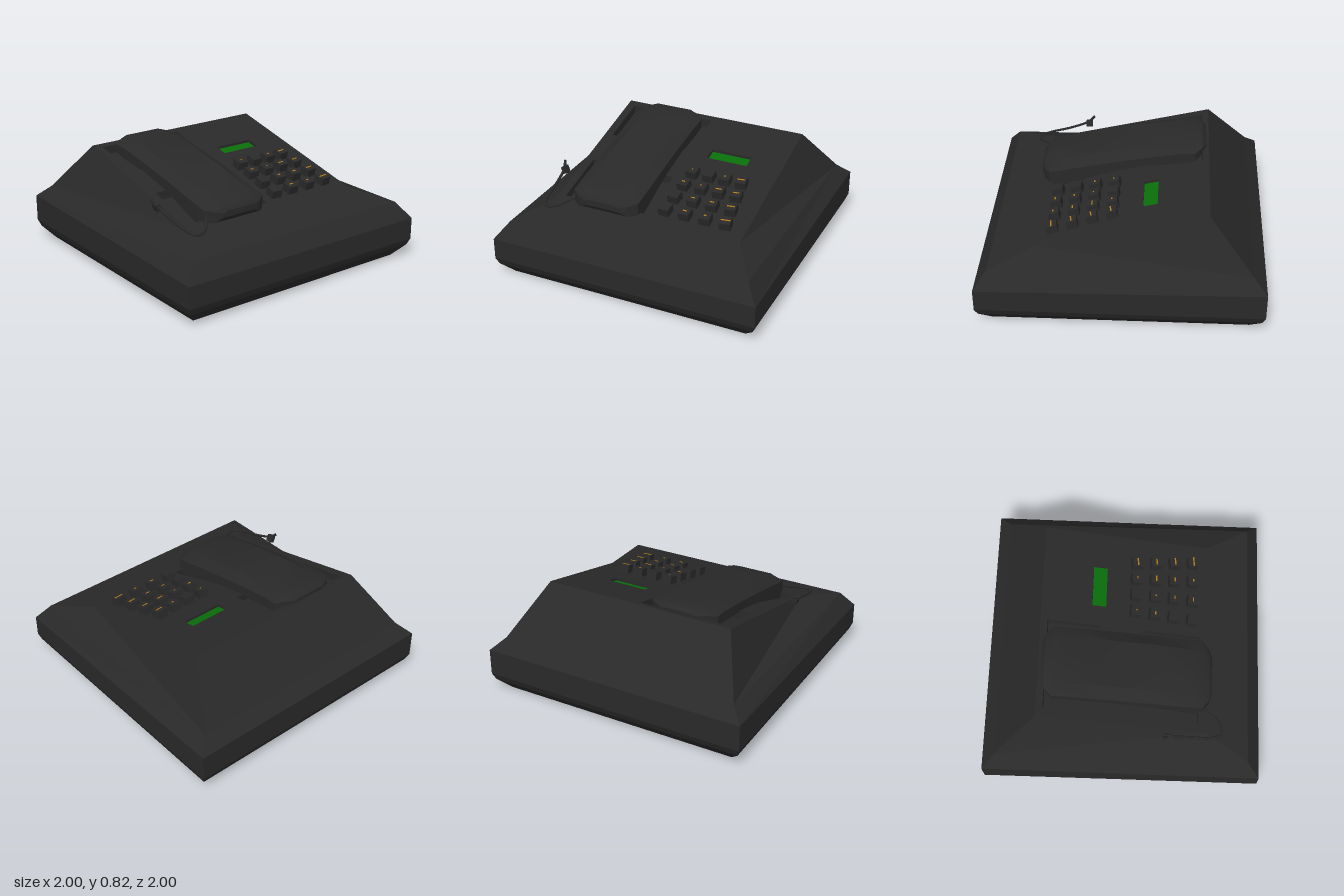
import * as THREE from 'three';
import { toCreasedNormals } from 'three/addons/utils/BufferGeometryUtils.js';

const mat = (name, color) => {
  const m = new THREE.MeshStandardMaterial({ color });
  m.name = name;
  return m;
};

// Sloping top panel: height at a given depth
const SLOPE = 0.2384, TILT = Math.atan(SLOPE);
const panelY = z => 0.42 + (0.91 - z) * SLOPE;

// Flat-faced geometry from convex polygons, corners anticlockwise
function polygons(faces) {
  const pos = [];
  for (const f of faces)
    for (let i = 1; i < f.length - 1; i++) pos.push(...f[0], ...f[i], ...f[i + 1]);
  const g = new THREE.BufferGeometry();
  g.setAttribute('position', new THREE.Float32BufferAttribute(pos, 3));
  g.computeVertexNormals();
  return g;
}

// Quads joining two closed loops of equal length
const bridge = (a, b) => a.map((p, i) => {
  const j = (i + 1) % a.length;
  return [p, a[j], b[j], b[i]];
});

const CORNERS = [[1, 1], [1, -1], [-1, -1], [-1, 1]];
const ring = (s, front, back = front) =>
  CORNERS.map(([x, z]) => [x * s, z > 0 ? front : back, z * s]);

export function createModel() {
  const model = new THREE.Group();
  const dark = mat('charcoal plastic', 0x292929);
  const green = mat('green display', 0x0a6e0a);
  const amber = mat('amber marks', 0xb07a1a);
  const add = (name, geometry, material, parent = model) => {
    const m = new THREE.Mesh(geometry, material);
    m.name = name;
    parent.add(m);
    return m;
  };

  // Housing: stacked square rings, then the sloping sides
  const shoulder = ring(0.91, 0.42);
  const rings = [ring(0.9, 0), ring(0.98, 0.09), ring(1, 0.14), ring(1, 0.3, 0.335), shoulder];
  const rim = CORNERS.map(([x, z]) => [x * 0.72, panelY(z * 0.6), z * 0.6]);
  const faces = [[...rings[0]].reverse()];
  for (let i = 0; i < rings.length - 1; i++) faces.push(...bridge(rings[i], rings[i + 1]));
  // The bent right and left sides both fold from the back shoulder to the front of the rim
  faces.push([shoulder[1], rim[1], rim[0], shoulder[0]]);
  faces.push(...bridge(shoulder, rim).slice(1, 3));
  add('housing', polygons(faces), dark);

  // Top panel with openings for the cradle wells and the display
  const openings = [
    { name: 'earpieceWell', x0: -0.66, x1: 0, z0: -0.55, z1: -0.17, depth: 0.06 },
    { name: 'mouthpieceWell', x0: -0.66, x1: 0, z0: 0.13, z1: 0.545, depth: 0.06 },
    { name: 'displayWell', x0: 0.15, x1: 0.46, z0: -0.24, z1: -0.14, depth: 0.02 },
  ];
  const outline = [[0.91, 0.91], [0.72, 0.6], [0.72, -0.6], [-0.72, -0.6], [-0.72, 0.6], [-0.91, 0.91]];
  const shape = new THREE.Shape(outline.map(([x, z]) => new THREE.Vector2(x, -z)));
  const loopOf = ({ x0, x1, z0, z1 }) => [[x1, z1], [x1, z0], [x0, z0], [x0, z1]];
  for (const o of openings)
    shape.holes.push(new THREE.Path(loopOf(o).map(([x, z]) => new THREE.Vector2(x, -z))));
  const top = new THREE.ShapeGeometry(shape);
  const p = top.attributes.position;
  for (let i = 0; i < p.count; i++) {
    const z = -p.getY(i);
    p.setXYZ(i, p.getX(i), panelY(z), z);
  }
  top.computeVertexNormals();
  add('topPanel', top, dark);

  // Well walls and floors
  for (const o of openings) {
    const upper = loopOf(o).map(([x, z]) => [x, panelY(z), z]);
    const lower = upper.map(([x, y, z]) => [x, y - o.depth, z]);
    const walls = bridge(lower, upper).map(f => f.reverse());
    add(o.name + 'Walls', polygons(walls), dark);
    add(o.name + 'Floor', polygons([lower]), o.name === 'displayWell' ? green : dark);
  }

  // Handset lofted from front to back: z, half width, half top width, top, shoulder, bottom
  const stations = [
    [0.64, 0.13, 0.10, 0.575, 0.56, 0.53],
    [0.62, 0.19, 0.13, 0.60, 0.575, 0.50],
    [0.57, 0.255, 0.16, 0.622, 0.59, 0.48],
    [0.5, 0.257, 0.17, 0.642, 0.605, 0.47],
    [0.2, 0.257, 0.17, 0.72, 0.67, 0.58],
    [-0.1, 0.257, 0.17, 0.775, 0.73, 0.66],
    [-0.4, 0.257, 0.17, 0.813, 0.78, 0.70],
    [-0.5, 0.257, 0.16, 0.825, 0.785, 0.72],
    [-0.55, 0.20, 0.14, 0.825, 0.80, 0.75],
    [-0.58, 0.13, 0.10, 0.80, 0.79, 0.76],
  ];
  const sections = stations.map(([z, w, t, yt, ys, yb]) =>
    [[-w, yb, z], [w, yb, z], [w, ys, z], [t, yt, z], [-t, yt, z], [-w, ys, z]]);
  const skin = [sections[0], [...sections.at(-1)].reverse()];
  for (let k = 0; k < sections.length - 1; k++)
    skin.push(...bridge(sections[k + 1], sections[k]));
  add('handset', toCreasedNormals(polygons(skin), 0.45), dark).position.x = -0.317;

  // Cord from the mouthpiece to a plug on the left-hand slope
  const cordPath = new THREE.CatmullRomCurve3([
    [-0.55, 0.54, 0.57], [-0.6, 0.52, 0.64], [-0.66, 0.5, 0.7], [-0.73, 0.495, 0.715],
    [-0.765, 0.51, 0.64], [-0.775, 0.55, 0.48], [-0.79, 0.6, 0.34], [-0.81, 0.64, 0.29],
  ].map(a => new THREE.Vector3(...a)));
  add('cord', new THREE.TubeGeometry(cordPath, 40, 0.01, 6), dark);
  const plug = add('cordPlug', new THREE.BoxGeometry(0.035, 0.05, 0.05), dark);
  plug.position.set(-0.785, 0.59, 0.33);
  plug.rotation.z = 0.35;

  // Keypad: columns fan out towards the front; most keys carry a small dash
  const keyGeometry = new THREE.BoxGeometry(0.08, 0.08, 0.08);
  const markDepth = 0.01;
  const backX = [0.132, 0.262, 0.387, 0.512], frontX = [0.112, 0.265, 0.418, 0.57];
  const dashes = [
    [0.01, 0, 0.015, 0.055],
    [0.025, 0.01, 0.045, 0.045],
    [0, 0.025, 0.03, 0.055],
    [0, 0.03, 0.02, 0.07],
  ];
  const keypad = new THREE.Group();
  keypad.name = 'keypad';
  model.add(keypad);
  for (let r = 0; r < 4; r++)
    for (let c = 0; c < 4; c++) {
      const z = 0.07 + r * 0.138;
      const key = new THREE.Group();
      key.name = 'key';
      key.position.set(THREE.MathUtils.lerp(backX[c], frontX[c], r / 3), panelY(z), z);
      key.rotation.set(TILT, (c - 1) * 0.06, 0);
      keypad.add(key);
      add('keyCap', keyGeometry, dark, key).position.y = 0.02;
      if (dashes[r][c])
        add('keyMark', new THREE.BoxGeometry(dashes[r][c], 0.003, markDepth), amber, key).position.y = 0.061;
    }

  return model;
}
